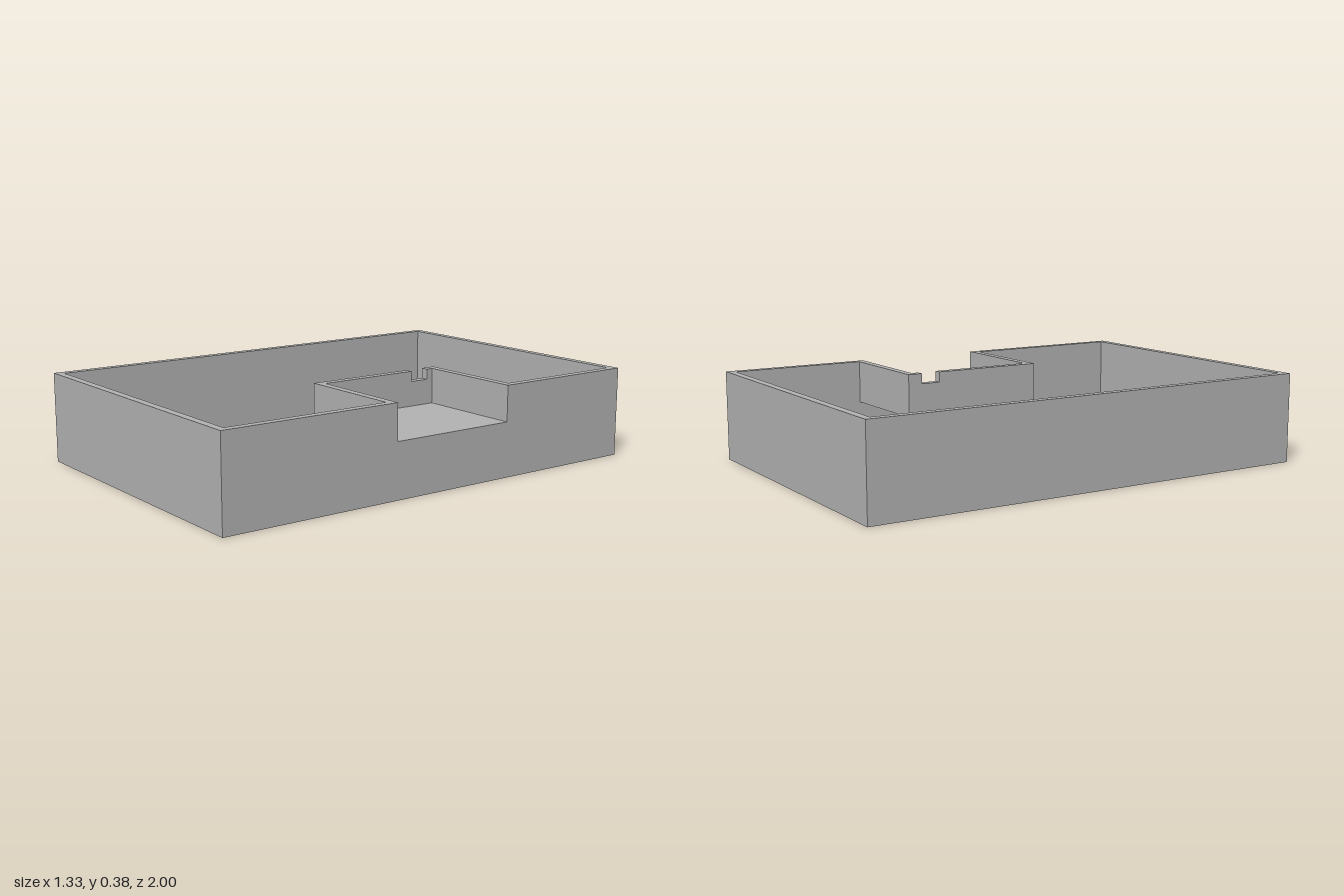
import * as THREE from 'three';

const W = 0.667, L = 1, H = 0.384, T = 0.033;            // half width, half length, height, wall
const POCKET = { x: 0.167, back: -0.35, front: 0.217, floor: 0.233 };

export function createModel() {
  const model = new THREE.Group();
  model.name = 'tray';
  const grey = new THREE.MeshStandardMaterial({ color: 0xb2b2b2 });
  grey.name = 'grey';

  // Box given by its lower and upper corners
  function block(name, [x0, y0, z0], [x1, y1, z1], parent = model) {
    const mesh = new THREE.Mesh(new THREE.BoxGeometry(x1 - x0, y1 - y0, z1 - z0), grey);
    mesh.position.set((x0 + x1) / 2, (y0 + y1) / 2, (z0 + z1) / 2);
    mesh.name = name;
    parent.add(mesh);
  }

  // Wall along z with a rectangular cut-out in its top edge
  function cutWall(name, x, [z0, z1], y0, [c0, c1], cutY, parent = model) {
    const outline = [[z0, y0], [z1, y0], [z1, H], [c1, H], [c1, cutY], [c0, cutY], [c0, H], [z0, H]];
    // shape x runs along -z so that a quarter turn about y lays the wall along z
    const shape = new THREE.Shape(outline.map(([z, y]) => new THREE.Vector2(-z, y)));
    const geometry = new THREE.ExtrudeGeometry(shape, { depth: T, bevelEnabled: false });
    geometry.rotateY(Math.PI / 2);
    geometry.translate(x, 0, 0);
    const mesh = new THREE.Mesh(geometry, grey);
    mesh.name = name;
    parent.add(mesh);
  }

  // Outer tray
  block('floor', [-W, 0, -L], [W, T, L]);
  block('frontWall', [-W, T, L - T], [W, H, L]);
  block('backWall', [-W, T, -L], [W, H, -L + T]);
  block('plainSideWall', [-W, T, -L + T], [-W + T, H, L - T]);
  cutWall('openSideWall', W - T, [-L + T, L - T], T, [POCKET.back, POCKET.front], POCKET.floor);

  // Raised pocket hanging from the open side
  const pocket = new THREE.Group();
  pocket.name = 'pocket';
  model.add(pocket);
  const { x, back, front, floor } = POCKET;
  block('pocketFloor', [x, floor - T, back - T], [W - T, floor, front + T], pocket);
  block('pocketBackWall', [x, floor, back - T], [W - T, H, back], pocket);
  block('pocketFrontWall', [x, floor, front], [W - T, H, front + T], pocket);
  cutWall('pocketNotchedWall', x, [back, front], floor, [-0.32, -0.235], 0.34, pocket);

  return model;
}
